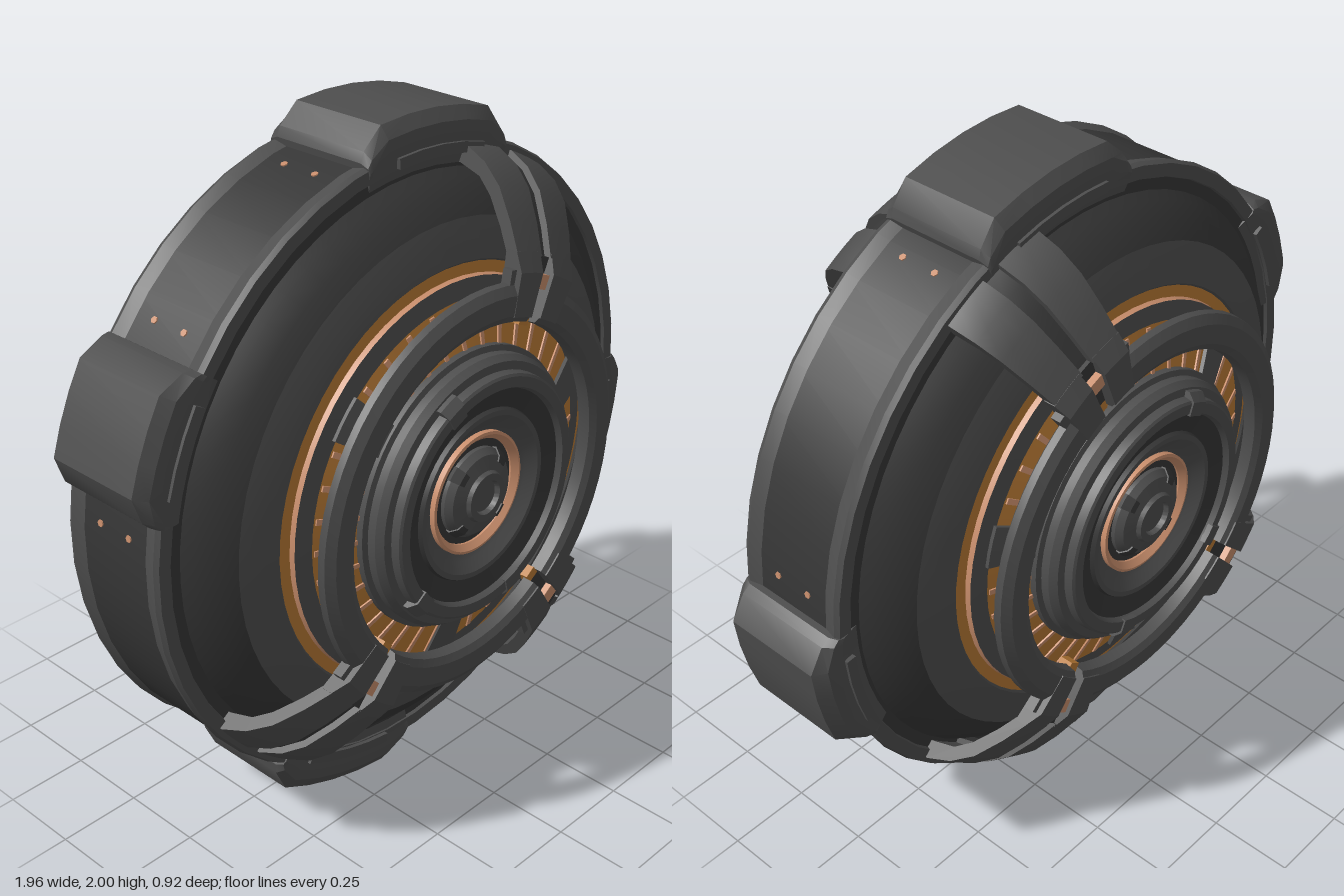
import * as THREE from 'three';
import { toCreasedNormals } from 'three/addons/utils/BufferGeometryUtils.js';

const mat = (name, color) => Object.assign(new THREE.MeshStandardMaterial({ color }), { name });
const D = Math.PI / 180;

// Evenly spaced angles in degrees
const span = (a, b, step = 6) => {
  const n = Math.max(1, Math.ceil((b - a) / step));
  return Array.from({ length: n + 1 }, (_, i) => a + ((b - a) * i) / n);
};

// Sweep a closed counter-clockwise (radius, z) outline around the z axis through the given angles,
// with capped ends; side -1 mirrors it to the back; shape(r, i) may alter the radius at each step
function sweep(outline, angles, side = 1, shape = (r) => r) {
  const prof = side > 0 ? outline : outline.map(([r, z]) => [r, -z]).reverse();
  const pos = [];
  const put = (j, i) => {
    const [r, z] = prof[j % prof.length];
    const R = shape(r, i), a = angles[i] * D;
    pos.push(R * Math.cos(a), R * Math.sin(a), z);
  };
  const last = angles.length - 1;
  for (let i = 0; i < last; i++) {
    for (let j = 0; j < prof.length; j++) {
      put(j, i); put(j, i + 1); put(j + 1, i + 1);
      put(j, i); put(j + 1, i + 1); put(j + 1, i);
    }
  }
  if (angles[last] - angles[0] < 359.9) {
    const tris = THREE.ShapeUtils.triangulateShape(prof.map(([r, z]) => new THREE.Vector2(r, z)), []);
    for (const [a, b, c] of tris) {
      put(a, 0); put(b, 0); put(c, 0);
      put(a, last); put(c, last); put(b, last);
    }
  }
  const g = new THREE.BufferGeometry();
  g.setAttribute('position', new THREE.Float32BufferAttribute(pos, 3));
  return toCreasedNormals(g, 0.45);
}

// Full turned surface; the profile runs from outside to inside on the front, mirrored for the back
function turned(points, side) {
  const p = side > 0 ? points : points.map(([r, z]) => [r, -z]).reverse();
  const g = new THREE.LatheGeometry(p.map(([r, z]) => new THREE.Vector2(r, z)), 60);
  g.rotateX(Math.PI / 2);
  return toCreasedNormals(g, 0.45);
}

export function createModel() {
  const grey = mat('gunmetal', 0x4e4e4e);
  const dark = mat('dark metal', 0x363636);
  const orange = mat('amber', 0xb97a35);
  const copper = mat('copper', 0xc98e6c);

  const model = new THREE.Group();
  model.name = 'wheelPod';
  const wheel = new THREE.Group();
  wheel.name = 'wheel';
  wheel.position.set(-0.02, 1, 0);
  model.add(wheel);
  const add = (name, geo, material) => {
    const m = new THREE.Mesh(geo, material);
    m.name = name;
    wheel.add(m);
    return m;
  };
  const box = (r0, r1, z0, z1) => [[r0, z0], [r1, z0], [r1, z1], [r0, z1]];

  // Tread band
  add('tread', sweep(box(0.84, 0.912, -0.165, 0.165), span(0, 360, 8)), dark);

  // Bumpers around the tread: centre angle and half width
  const bumpers = [[84, 17], [156.5, 12.5], [252.5, 17], [348, 13]];
  const bumperOutline = [[0.85, -0.165], [0.92, -0.18], [0.965, -0.175], [1, -0.15],
    [1, 0.15], [0.965, 0.175], [0.92, 0.18], [0.85, 0.165]];
  for (const [c, h] of bumpers) {
    const angles = [c - h, c - h + 1, ...span(c - h + 5, c + h - 5), c + h - 1, c + h];
    const lift = (r, i) => {
      const e = Math.min(i, angles.length - 1 - i);
      return r > 0.9 ? 0.9 + (r - 0.9) * [0.3, 0.55, 1][Math.min(e, 2)] : r;
    };
    add('bumper', sweep(bumperOutline, angles, 1, lift), grey);
    for (const s of [1, -1]) {
      add('bumperBar', sweep(box(0.88, 0.91, 0.15, 0.187), span(c - h * 0.62, c + h * 0.62), s), grey);
      // Small rivet pairs on the tread beside each bumper
      for (const e of [-1, 1]) {
        const a = (c + e * (h + 4.5)) * D;
        const rivet = add('rivet', new THREE.CylinderGeometry(0.01, 0.01, 0.008, 6), copper);
        rivet.position.set(0.91 * Math.cos(a), 0.91 * Math.sin(a), 0.055 * s);
        rivet.rotation.z = a - Math.PI / 2;
      }
    }
  }

  const arms = [67, 225, 305];
  const strap = [[0.9, 0.12], [0.9, 0.18], [0.87, 0.25], [0.82, 0.31], [0.74, 0.365], [0.66, 0.41],
    [0.66, 0.37], [0.72, 0.335], [0.79, 0.285], [0.83, 0.24], [0.85, 0.17], [0.85, 0.12]];

  for (const s of [1, -1]) {
    // Rim lip and domed side body
    add('rimLip', sweep([[0.86, 0.12], [0.912, 0.12], [0.922, 0.16], [0.915, 0.175], [0.878, 0.175]],
      span(0, 360, 8), s), grey);
    add('sideDome', turned([[0.88, 0.15], [0.84, 0.165], [0.82, 0.19], [0.78, 0.232], [0.732, 0.262]], s), dark);
    add('sideRing', turned([[0.732, 0.262], [0.67, 0.283], [0.622, 0.293], [0.614, 0.285]], s), grey);

    // Outer amber groove with a copper inner wall, and the cone rising under the cover ring
    add('amberGroove', turned([[0.618, 0.287], [0.584, 0.29]], s), orange);
    add('grooveWall', turned([[0.585, 0.286], [0.581, 0.305]], s), copper);
    add('innerCone', turned([[0.581, 0.305], [0.53, 0.316]], s), grey);
    add('amberCone', turned([[0.53, 0.316], [0.39, 0.361]], s), orange);
    for (let k = 0; k < 36; k++) {
      add('coneSeam', sweep([[0.4, 0.34], [0.525, 0.31], [0.525, 0.322], [0.4, 0.363]],
        [k * 10 - 0.9, k * 10 + 0.9], s), copper);
    }
    // Blocks dividing the inner amber band
    for (const a of [140, 266, 16]) {
      add('bandBlock', sweep([[0.38, 0.33], [0.54, 0.305], [0.54, 0.324], [0.38, 0.376]],
        span(a - 6.5, a + 6.5), s), grey);
    }

    arms.forEach((a, i) => {
      // Cover ring between arms
      const next = arms[(i + 1) % 3] + (i === 2 ? 360 : 0);
      add('coverRing', sweep([[0.48, 0.385], [0.575, 0.385], [0.588, 0.395], [0.585, 0.415], [0.56, 0.432],
        [0.505, 0.432], [0.485, 0.42]], span(a + 2.3, next - 2.3), s), grey);
      // Split arm: paired straps and necks over a recessed spine
      for (const e of [-1, 1]) {
        const part = (p, q) => (e > 0 ? span(a + p, a + q, 4) : span(a - q, a - p, 4));
        add('armStrap', sweep(strap, part(1.8, 10.8), s), grey);
        add('armNeck', sweep([[0.5, 0.38], [0.67, 0.37], [0.67, 0.405], [0.62, 0.432], [0.5, 0.434]],
          part(2.3, 11), s), grey);
        add('neckFillet', sweep(box(0.56, 0.625, 0.385, 0.415), part(11, 12.8), s), grey);
      }
      add('armSpine', sweep(strap.map(([r, z]) => [r - 0.012, z - 0.015]), [a - 2.2, a + 2.2], s), dark);
      add('neckSpine', sweep(box(0.5, 0.66, 0.36, 0.4), [a - 2.4, a + 2.4], s), dark);
      add('armLight', sweep(box(0.575, 0.615, 0.39, 0.42), [a - 2.3, a + 2.3], s), copper);
      add('armGlow', sweep(box(0.47, 0.5, 0.36, 0.4), [a - 2.3, a + 2.3], s), orange);
    });

    // Stepped hub with a dished centre
    add('hub', turned([[0.408, 0.345], [0.408, 0.375], [0.392, 0.38], [0.392, 0.405], [0.378, 0.425],
      [0.355, 0.428], [0.352, 0.452], [0.345, 0.457], [0.315, 0.457], [0.308, 0.44]], s), grey);
    add('hubGroove', turned([[0.308, 0.44], [0.25, 0.425], [0.245, 0.437]], s), dark);
    add('hubDish', turned([[0.245, 0.437], [0.23, 0.437], [0.2, 0.415], [0.175, 0.4], [0.15, 0.395]], s), grey);
    add('hubRing', sweep([[0.154, 0.385], [0.178, 0.385], [0.178, 0.418], [0.17, 0.42], [0.154, 0.404]],
      span(0, 360), s), copper);
    add('hubWell', turned([[0.16, 0.398], [0.12, 0.398]], s), dark);
    add('knob', turned([[0.13, 0.39], [0.13, 0.41], [0.115, 0.428], [0.075, 0.44], [0.07, 0.452],
      [0.05, 0.452], [0.046, 0.437], [0, 0.437]], s), grey);
    // Small lugs around the hub and notches on the knob
    for (const a of [115, 220, 290]) {
      add('hubLug', sweep([[0.31, 0.43], [0.372, 0.42], [0.372, 0.44], [0.35, 0.462], [0.31, 0.462]],
        span(a - 5, a + 5), s), grey);
    }
    for (const a of [45, 135, 225, 315]) {
      add('knobNotch', sweep([[0.1, 0.425], [0.132, 0.395], [0.135, 0.41], [0.117, 0.432], [0.1, 0.437]],
        [a - 9, a, a + 9], s), dark);
    }
  }
  return model;
}
